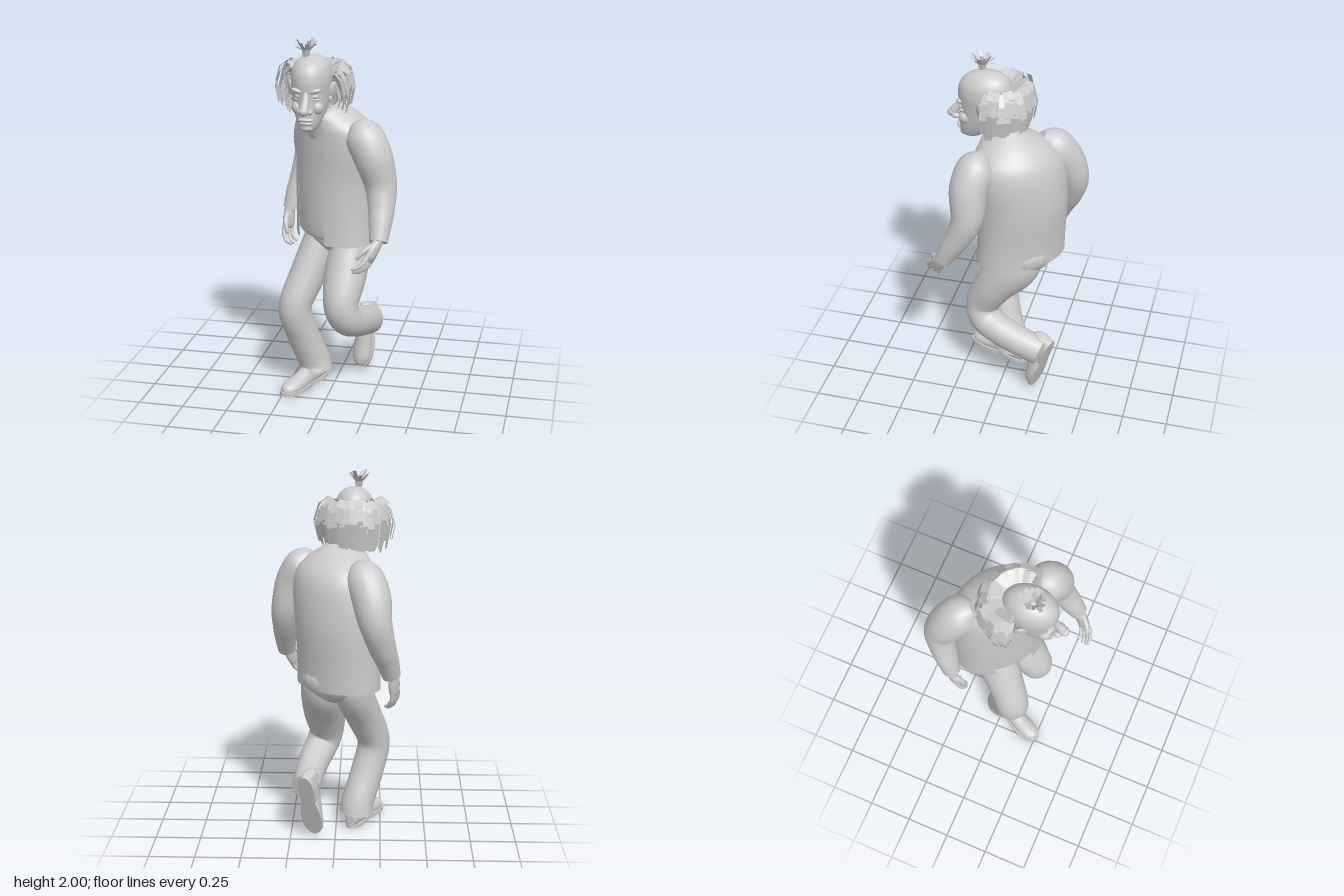
import * as THREE from 'three';
import { mergeGeometries } from 'three/addons/utils/BufferGeometryUtils.js';

const V = (x, y, z) => new THREE.Vector3(x, y, z);
const smoothMat = new THREE.MeshStandardMaterial({ color: 0xcccccc });
const clothMat = new THREE.MeshStandardMaterial({ color: 0xcccccc, side: THREE.DoubleSide });
const hairMat = new THREE.MeshStandardMaterial({ color: 0xcccccc, side: THREE.DoubleSide, flatShading: true });

let seed = 7;
const rnd = (a, b) => {
  seed = (seed * 16807) % 2147483647;
  return a + (b - a) * seed / 2147483647;
};

function mesh(parent, name, geometry, material = smoothMat) {
  const m = new THREE.Mesh(geometry, material);
  m.name = name;
  parent.add(m);
  return m;
}

// Catmull-Rom refinement of rows of numbers
function refine(rows, n) {
  const out = [], last = rows.length - 1;
  for (let k = 0; k <= n; k++) {
    const s = k / n * last, i = Math.min(Math.floor(s), last - 1), t = s - i;
    const [a, b, c, d] = [i - 1, i, i + 1, i + 2].map(q => rows[Math.max(0, Math.min(last, q))]);
    out.push(b.map((_, j) => 0.5 * (2 * b[j] + (c[j] - a[j]) * t + (2 * a[j] - 5 * b[j] + 4 * c[j] - d[j]) * t * t
      + (3 * b[j] - a[j] - 3 * c[j] + d[j]) * t ** 3)));
  }
  return out;
}

// Skin over a list of rings of points; closed rings get end caps
function loft(rings, closed = true) {
  const n = rings[0].length, pos = [], idx = [];
  rings.forEach(r => r.forEach(p => pos.push(p.x, p.y, p.z)));
  for (let i = 0; i < rings.length - 1; i++) {
    for (let j = 0; j < (closed ? n : n - 1); j++) {
      const a = i * n + j, b = i * n + (j + 1) % n;
      idx.push(a, b, a + n, b, b + n, a + n);
    }
  }
  if (closed) [rings[0], rings[rings.length - 1]].forEach((r, e) => {
    const s = pos.length / 3, c = V(0, 0, 0);
    r.forEach(p => { pos.push(p.x, p.y, p.z); c.addScaledVector(p, 1 / n); });
    pos.push(c.x, c.y, c.z);
    for (let j = 0; j < n; j++) {
      const k = (j + 1) % n;
      e ? idx.push(s + n, s + j, s + k) : idx.push(s + n, s + k, s + j);
    }
  });
  const g = new THREE.BufferGeometry();
  g.setAttribute('position', new THREE.Float32BufferAttribute(pos, 3));
  g.setIndex(idx);
  g.computeVertexNormals();
  return g;
}

const arc = (n, from, to, f) => Array.from({ length: n }, (_, j) => f(from + (to - from) * j / n));

// Limb along a path; rows: x, y, z, radius across, radius in depth
function limb(rows, steps = 24, sides = 20) {
  const r = refine(rows.map(p => p.length > 4 ? p : [...p, p[3]]), steps);
  return loft(r.map((p, i) => {
    const q0 = r[Math.max(0, i - 1)], q1 = r[Math.min(steps, i + 1)];
    const T = V(q1[0] - q0[0], q1[1] - q0[1], q1[2] - q0[2]).normalize();
    const A = V(1, 0, 0).addScaledVector(T, -T.x).normalize(), B = T.clone().cross(A);
    return arc(sides, 0, 2 * Math.PI, t => V(p[0], p[1], p[2])
      .addScaledVector(A, p[3] * Math.cos(t)).addScaledVector(B, p[4] * Math.sin(t)));
  }));
}

// Upright body; rows: y, x, z, half width, half depth, forward tilt; optional front gap
function column(rows, steps, yaw = 0, gap = null) {
  const f = V(Math.sin(yaw), 0, Math.cos(yaw)), u = V(Math.cos(yaw), 0, -Math.sin(yaw));
  const [t0, t1] = gap || [0, 0];
  return loft(refine(rows, steps).map(([y, x, z, w, d, tilt]) => arc(41, t1, t0 + 2 * Math.PI * 1.0, t =>
    V(x, y - tilt * Math.cos(t), z).addScaledVector(f, d * Math.cos(t)).addScaledVector(u, w * Math.sin(t)))), !gap);
}

function ball(parent, name, [x, y, z], [a, b, c], rz = 0) {
  const m = mesh(parent, name, new THREE.SphereGeometry(1, 20, 14));
  m.position.set(x, y, z);
  m.scale.set(a, b, c);
  m.rotation.z = rz;
  return m;
}

// Flat strand along points, widened along a side vector
const ribbon = (pts, side, w) => loft(pts.map((p, i) => {
  const k = w * (1 - 0.25 * i / pts.length) / 2;
  return [p.clone().addScaledVector(side, -k), p.clone().addScaledVector(side, k)];
}), false);

function makeHead() {
  const g = new THREE.Group();
  g.name = 'head';
  g.position.x = -0.095;
  mesh(g, 'skull', column([[1.524, 0, .22, .02, .02, 0], [1.54, 0, .21, .05, .062, 0], [1.6, 0, .178, .076, .104, 0],
    [1.66, 0, .15, .092, .128, 0], [1.72, 0, .138, .1, .142, 0], [1.78, 0, .135, .107, .15, 0], [1.84, 0, .135, .1, .138, 0],
    [1.88, 0, .13, .078, .108, 0], [1.905, 0, .125, .044, .06, 0], [1.913, 0, .12, .004, .005, 0]], 36));
  mesh(g, 'noseBridge', limb([[0, 1.745, .262, .016], [0, 1.7, .282, .018], [0, 1.655, .312, .025], [0, 1.635, .318, .016]], 12, 14));
  ball(g, 'noseTip', [0, 1.645, .32], [.027, .025, .03]);
  ball(g, 'upperLip', [0, 1.592, .274], [.042, .012, .022]);
  ball(g, 'lowerLip', [0, 1.573, .27], [.035, .011, .022]);
  ball(g, 'chin', [0, 1.545, .252], [.036, .022, .026]);
  for (const s of [-1, 1]) {
    ball(g, 'nostril', [s * .026, 1.638, .296], [.016, .015, .022]);
    ball(g, 'brow', [s * .043, 1.742, .263], [.038, .013, .02], s * .25);
    ball(g, 'eye', [s * .043, 1.713, .252], [.02, .013, .018]);
    ball(g, 'lowerLid', [s * .043, 1.698, .25], [.026, .009, .016], s * -.15);
    ball(g, 'cheek', [s * .052, 1.65, .235], [.032, .036, .035]);
    const ear = ball(g, 'ear', [s * .112, 1.725, .13], [.014, .05, .034], s * -.2);
    ear.rotation.y = s * -.45;
    ball(g, 'earLobe', [s * .1, 1.685, .14], [.012, .02, .016]);
  }
  return g;
}

function makeHair() {
  const g = new THREE.Group();
  g.name = 'hair';
  const strands = [];
  // Layers of strands from one temple round the back to the other
  const layers = [[.07, 1.83, 1, 1.66], [.08, 1.8, .9, 1.62], [.08, 1.76, .78, 1.6], [.07, 1.72, .64, 1.6]];
  for (const [r0, y0, k, yEnd] of layers) {
    for (let i = 0; i <= 26; i++) {
      const t = -.12 + (Math.PI + .24) * i / 26 + rnd(-.05, .05), j = k * rnd(.92, 1.06), dy = rnd(-.025, .025);
      const side = V(Math.sin(t), rnd(-.25, .25), Math.cos(t)).normalize();
      const at = (r, y) => V(-.095 + Math.cos(t) * r, y, .06 - Math.sin(t) * r * .92);
      strands.push(ribbon([at(r0, y0), at(.135 * j + .01, y0 + .035 + dy * .3), at(.19 * j, y0 - .005 + dy),
        at(.212 * j, (y0 + yEnd) / 2 + dy), at(.195 * j, yEnd + dy)], side, rnd(.035, .055)));
    }
  }
  mesh(g, 'hairFringe', mergeGeometries(strands), hairMat);
  // Tuft on the crown
  const tuft = [];
  for (let i = 0; i < 18; i++) {
    const t = i * 2.4, lean = rnd(.02, .065), h = rnd(1.95, 2);
    const at = (r, y) => V(-.118 + Math.cos(t) * r, y, .16 + Math.sin(t) * r);
    tuft.push(ribbon([at(.008, 1.89), at(.02, 1.94), at(lean + .008, h)], V(-Math.sin(t), 0, Math.cos(t)), rnd(.016, .03)));
  }
  mesh(g, 'crownTuft', mergeGeometries(tuft), hairMat);
  return g;
}

// Hand hangs along -y, thumb to the front, fingers curling inward
function makeHand(name, s) {
  const g = new THREE.Group(), q = -s;
  g.name = name;
  mesh(g, 'palm', limb([[0, .05, 0, .03, .034], [0, 0, 0, .027, .033], [q * .004, -.04, 0, .026, .043],
    [q * .008, -.09, -.002, .02, .042], [q * .012, -.104, -.002, .008, .03]], 14, 16));
  for (let i = 0; i < 4; i++) {
    const z = .031 - i * .021, l = [.92, 1, .95, .78][i];
    mesh(g, 'finger', limb([[q * .006, -.085, z, .012], [q * .012, -.085 - .045 * l, z * 1.1, .011],
      [q * .034, -.085 - .085 * l, z * 1.1, .01], [q * .058, -.085 - .1 * l, z * 1.05, .008], [q * .064, -.085 - .1 * l, z, .002]], 12, 10));
  }
  mesh(g, 'thumb', limb([[q * .005, -.02, .02, .017], [q * .022, -.055, .045, .015], [q * .04, -.09, .05, .012],
    [q * .052, -.118, .045, .009], [q * .054, -.123, .044, .002]], 12, 10));
  return g;
}

// Shoe from heel at the origin to toe along +z
function makeShoe(name) {
  const g = new THREE.Group();
  g.name = name;
  const sole = new THREE.Shape();
  sole.moveTo(0, .04);
  sole.bezierCurveTo(.06, .04, .048, -.08, .042, -.13);
  sole.bezierCurveTo(.07, -.2, .08, -.35, 0, -.355);
  sole.bezierCurveTo(-.08, -.35, -.07, -.2, -.042, -.13);
  sole.bezierCurveTo(-.048, -.08, -.06, .04, 0, .04);
  const slab = new THREE.ExtrudeGeometry(sole, { depth: .022, bevelEnabled: false, curveSegments: 12 });
  mesh(g, 'sole', slab.rotateX(-Math.PI / 2));
  const rows = [[-.036, .05, .012, .03], [-.025, .06, .036, .055], [.04, .06, .044, .075], [.12, .05, .044, .065],
    [.21, .035, .052, .05], [.29, .03, .052, .04], [.335, .026, .03, .026], [.346, .025, .004, .004]];
  mesh(g, 'upper', loft(refine(rows, 24).map(([z, y, w, h]) => arc(24, 0, 2 * Math.PI, t =>
    V(w * Math.cos(t), Math.max(.018, y + h * Math.sin(t)), z)))));
  return g;
}

function place(parent, part, pos, rot) {
  part.position.set(...pos);
  part.rotation.set(...rot, 'YXZ');
  parent.add(part);
}

export function createModel() {
  const g = new THREE.Group();
  g.name = 'walkingMan';
  const yaw = -.78;

  // Upper body, turned towards the model's right
  mesh(g, 'jacket', column([[.86, -.015, -.08, .265, .19, 0], [1, -.015, -.085, .26, .195, 0], [1.2, -.01, -.09, .262, .205, 0],
    [1.38, 0, -.075, .265, .2, 0], [1.49, 0, -.055, .24, .185, 0], [1.555, -.02, -.02, .175, .15, .015],
    [1.6, -.05, .025, .105, .11, .03], [1.625, -.065, .045, .085, .095, .035]], 36, yaw, [-.2, .55]), clothMat);
  mesh(g, 'shirt', column([[.875, -.01, -.08, .19, .12, 0], [.885, -.01, -.08, .235, .168, 0], [.94, -.01, -.08, .25, .182, 0],
    [1.2, -.01, -.09, .25, .192, 0], [1.38, 0, -.075, .25, .188, 0], [1.48, 0, -.055, .225, .17, 0],
    [1.54, -.02, -.02, .16, .138, .015], [1.585, -.055, .03, .085, .095, .03]], 36, yaw));
  mesh(g, 'neck', limb([[-.06, 1.48, .02, .085], [-.075, 1.57, .06, .075], [-.09, 1.68, .11, .075]], 10));
  g.add(makeHead(), makeHair());

  // Arms
  mesh(g, 'leftSleeve', limb([[.13, 1.53, .08, .04], [.175, 1.49, .11, .1], [.235, 1.385, .14, .105], [.28, 1.23, .14, .088],
    [.292, 1.12, .18, .074], [.295, 1.04, .225, .063], [.294, .95, .275, .05]], 36));
  mesh(g, 'rightSleeve', limb([[-.12, 1.54, -.16, .04], [-.15, 1.49, -.215, .1], [-.19, 1.385, -.28, .106], [-.215, 1.26, -.325, .088],
    [-.25, 1.13, -.3, .074], [-.28, 1.04, -.265, .062], [-.302, .95, -.235, .05]], 36));
  place(g, makeHand('leftHand', 1), [.288, .945, .29], [-.6, -.25, -.15]);
  place(g, makeHand('rightHand', -1), [-.315, .94, -.23], [-.2, -.5, -.05]);

  // Trousers
  ball(g, 'trouserSeat', [.005, .9, -.09], [.185, .14, .18]);
  mesh(g, 'rightTrouserLeg', limb([[-.07, .92, -.12, .1, .13], [-.09, .82, -.08, .105, .14], [-.155, .64, .02, .1, .11],
    [-.21, .47, .085, .092, .1], [-.175, .3, .05, .092, .09], [-.125, .14, 0, .092, .095], [-.115, .075, -.005, .098, .105]], 36));
  mesh(g, 'leftTrouserLeg', limb([[.07, .92, -.1, .1, .13], [.08, .82, -.06, .115, .145], [.068, .66, .05, .118, .115],
    [.06, .52, .12, .098, .1], [.088, .43, .1, .092, .09], [.12, .385, .01, .088, .088], [.145, .345, -.11, .082, .085],
    [.16, .305, -.24, .078, .085]], 40));

  // Shoes: one planted, one lifted behind
  place(g, makeShoe('rightShoe'), [-.095, 0, -.06], [0, -.42, 0]);
  place(g, makeShoe('leftShoe'), [.165, .35, -.3], [1.25, -.42, 0]);
  return g;
}
